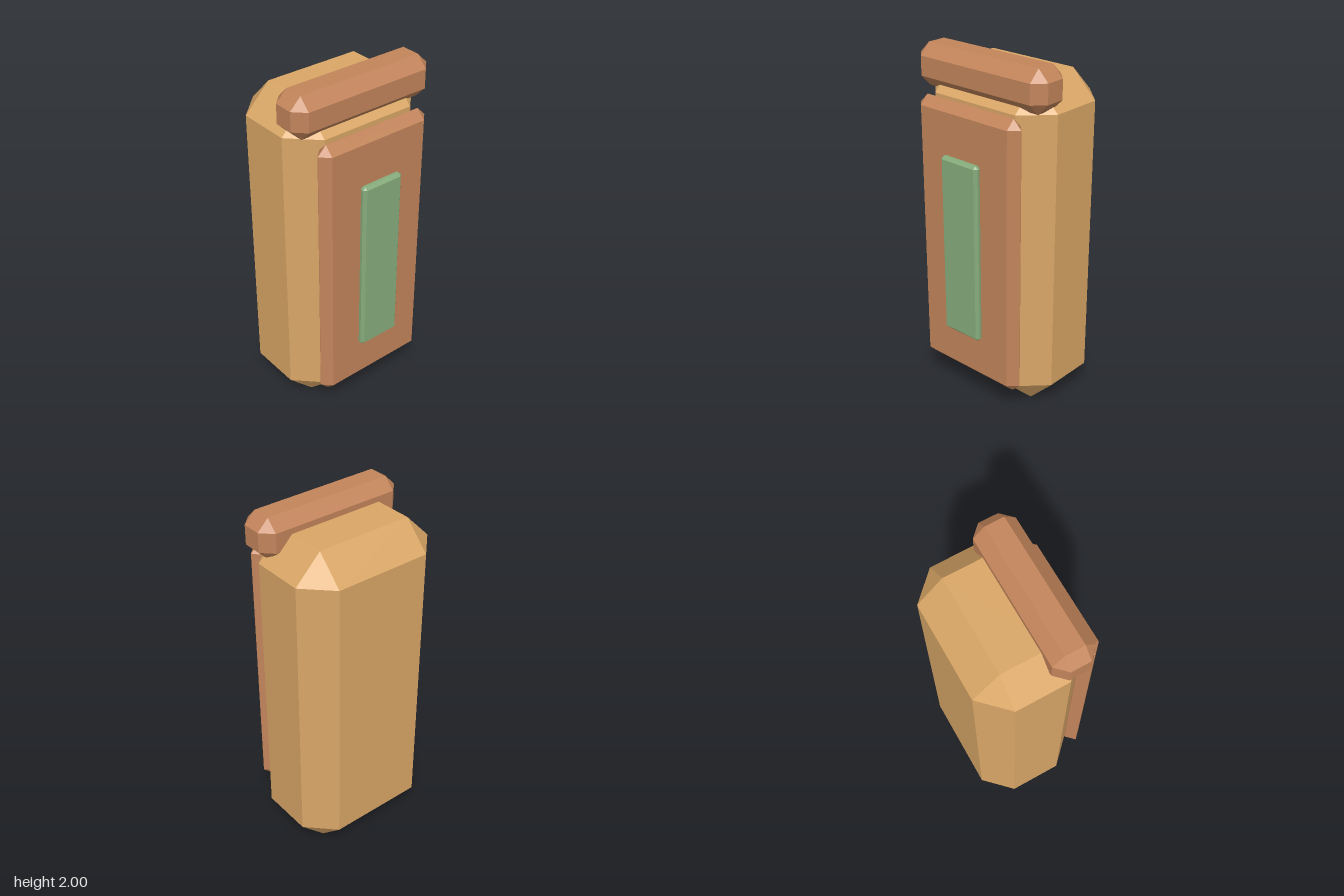
import * as THREE from 'three';
import { ConvexGeometry } from 'three/addons/geometries/ConvexGeometry.js';

// Box with every edge cut at 45 degrees by c, and triangular corners
function chamferedBox(w, h, d, c) {
  const half = [w / 2, h / 2, d / 2];
  const points = [];
  for (const sx of [-1, 1]) for (const sy of [-1, 1]) for (const sz of [-1, 1]) {
    for (let axis = 0; axis < 3; axis++) {
      const [x, y, z] = half.map((v, i) => (i === axis ? v : v - c));
      points.push(new THREE.Vector3(sx * x, sy * y, sz * z));
    }
  }
  return new ConvexGeometry(points);
}

export function createModel() {
  const model = new THREE.Group();
  const tan = new THREE.MeshStandardMaterial({ color: 0xd9a666, flatShading: true });
  const brown = new THREE.MeshStandardMaterial({ color: 0xc2845a, flatShading: true });
  const green = new THREE.MeshStandardMaterial({ color: 0x86ab7b, flatShading: true });

  // Adds a chamfered block spanning y0..y1 and z0..z1, centred on x
  function addBlock(name, material, width, [y0, y1], [z0, z1], chamfer) {
    const mesh = new THREE.Mesh(chamferedBox(width, y1 - y0, z1 - z0, chamfer), material);
    mesh.name = name;
    mesh.position.set(0, (y0 + y1) / 2, (z0 + z1) / 2);
    model.add(mesh);
  }

  // Main case
  addBlock('body', tan, 0.862, [0, 1.905], [-0.367, 0.237], 0.15);
  // Bar across the top front edge
  addBlock('topBar', brown, 0.882, [1.765, 2], [0.004, 0.241], 0.063);
  // Raised front panel
  addBlock('frontPanel', brown, 0.706, [0.155, 1.752], [0.22, 0.323], 0.05);
  // Thin strip on the panel
  addBlock('frontStrip', green, 0.258, [0.435, 1.475], [0.32, 0.367], 0.016);

  return model;
}
